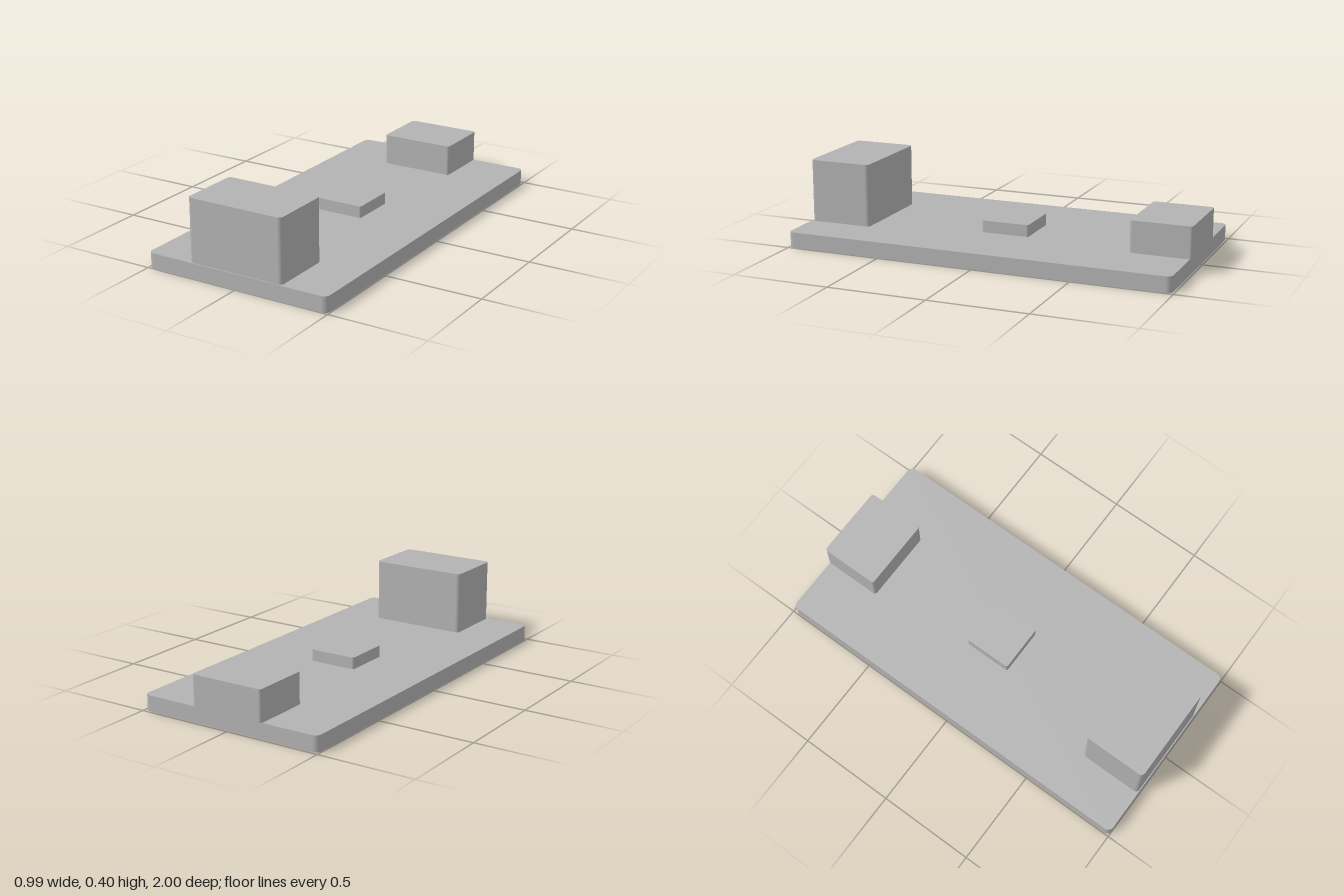
import * as THREE from 'three';

const grey = new THREE.MeshStandardMaterial({ color: 0xb2b2b2 });
grey.name = 'grey';

// Upright block with rounded vertical corners and sharp top and bottom edges
function roundedBlock(name, width, zBack, zFront, y0, y1, r) {
  const x = width / 2, d = (zFront - zBack) / 2;
  const s = new THREE.Shape();
  s.absarc(x - r, d - r, r, 0, Math.PI / 2);
  s.absarc(-x + r, d - r, r, Math.PI / 2, Math.PI);
  s.absarc(-x + r, -d + r, r, Math.PI, Math.PI * 1.5);
  s.absarc(x - r, -d + r, r, Math.PI * 1.5, Math.PI * 2);
  s.closePath();
  const geo = new THREE.ExtrudeGeometry(s, { depth: y1 - y0, bevelEnabled: false, curveSegments: 8 });
  geo.rotateX(-Math.PI / 2);

  // Smooth the rounded walls: normals point out from the nearest corner centre
  const p = geo.attributes.position, n = geo.attributes.normal;
  const v = new THREE.Vector3();
  for (let i = 0; i < p.count; i++) {
    if (Math.abs(n.getY(i)) > 0.5) continue;
    const px = p.getX(i), pz = p.getZ(i);
    v.set(px - Math.sign(px) * (x - r), 0, pz - Math.sign(pz) * (d - r)).normalize();
    n.setXYZ(i, v.x, 0, v.z);
  }

  const mesh = new THREE.Mesh(geo, grey);
  mesh.name = name;
  mesh.position.set(0, y0, (zBack + zFront) / 2);
  return mesh;
}

export function createModel() {
  const model = new THREE.Group();
  model.name = 'circuitBoard';
  model.add(
    roundedBlock('board', 0.99, -0.99, 1.0, 0, 0.08, 0.03),
    // Tall front connector, flush with the front edge
    roundedBlock('frontConnector', 0.51, 0.67, 0.995, 0.08, 0.4, 0.02),
    // Low rear connector, slightly overhanging the back edge
    roundedBlock('rearConnector', 0.39, -1.0, -0.69, 0.08, 0.24, 0.015),
    roundedBlock('chip', 0.25, -0.145, 0.103, 0.08, 0.14, 0.01),
  );
  return model;
}
